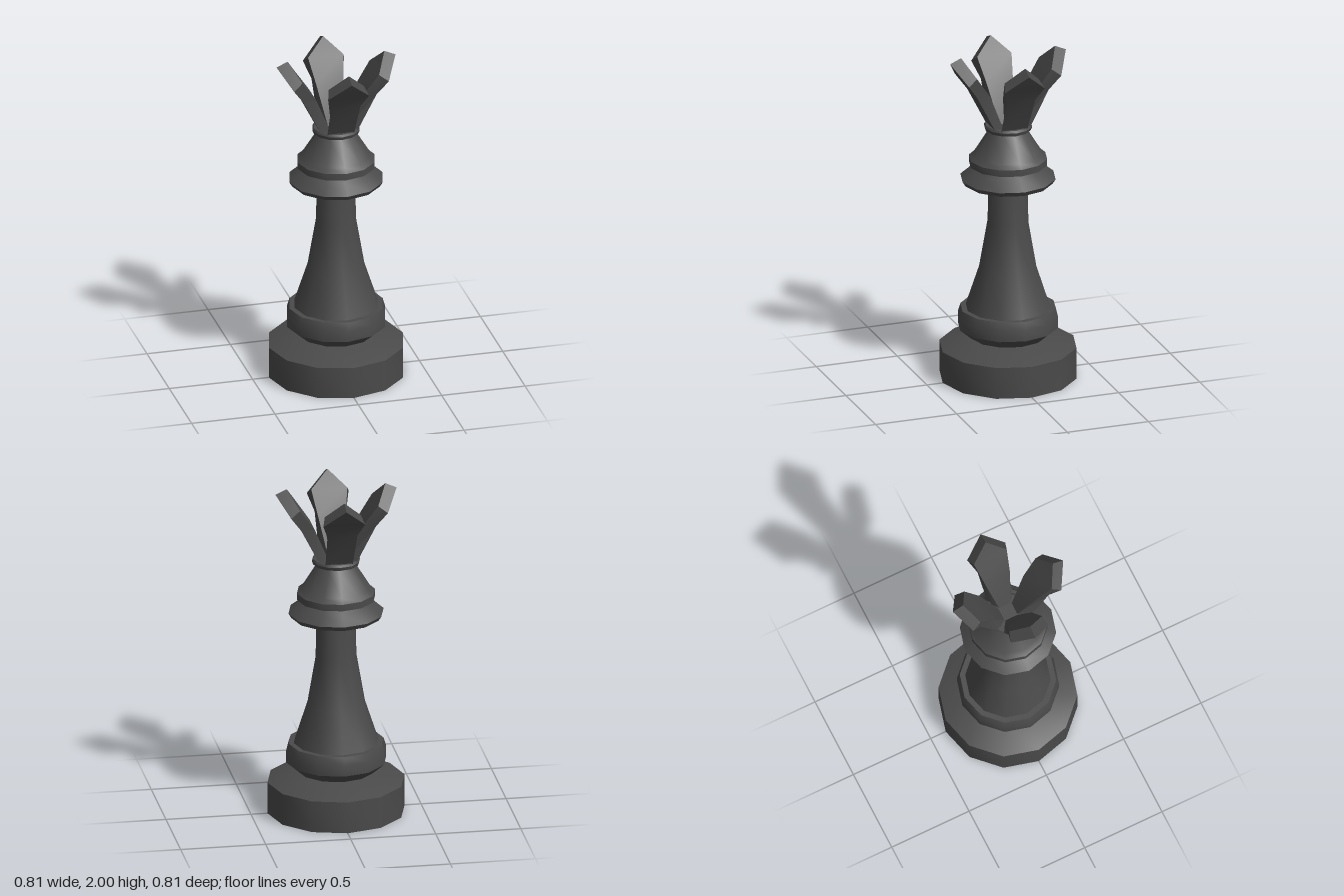
import * as THREE from 'three';
import { toCreasedNormals } from 'three/addons/utils/BufferGeometryUtils.js';

const SIDES = 12;
const CREASE = 0.6;
const material = new THREE.MeshStandardMaterial({ color: 0x4a4a4a });

function addMesh(parent, name, geometry) {
  const mesh = new THREE.Mesh(toCreasedNormals(geometry, CREASE), material);
  mesh.name = name;
  parent.add(mesh);
}

// Turned part: [radius, height] pairs from bottom to top
function turned(parent, name, profile) {
  const points = profile.map(([r, y]) => new THREE.Vector2(r, y));
  addMesh(parent, name, new THREE.LatheGeometry(points, SIDES));
}

// Crown petal leaning out towards +z, lofted through four-cornered sections
function petalGeometry() {
  // inner radius, inner height, inner half width, outer radius, outer height, outer half width
  const sections = [
    [0.04, 1.535, 0.036, 0.10, 1.535, 0.08],
    [0.14, 1.77, 0.082, 0.22, 1.77, 0.088],
    [0.23, 1.90, 0.106, 0.284, 1.86, 0.123],
    [0.29, 2.0, 0, 0.357, 1.97, 0],
  ];
  const positions = [];
  const indices = [];
  for (const [ri, yi, wi, ro, yo, wo] of sections) {
    positions.push(-wo, yo, ro, wo, yo, ro, wi, yi, ri, -wi, yi, ri);
  }
  for (let s = 0; s < sections.length - 1; s++) {
    for (let k = 0; k < 4; k++) {
      const a = s * 4 + k;
      const b = s * 4 + (k + 1) % 4;
      indices.push(a, b, b + 4, a, b + 4, a + 4);
    }
  }
  indices.push(0, 2, 1, 0, 3, 2); // underside
  const geometry = new THREE.BufferGeometry();
  geometry.setAttribute('position', new THREE.Float32BufferAttribute(positions, 3));
  geometry.setIndex(indices);
  return geometry;
}

export function createModel() {
  const model = new THREE.Group();
  model.name = 'chessQueen';

  turned(model, 'base', [[0, 0], [0.403, 0], [0.403, 0.19], [0.22, 0.25], [0, 0.25]]);
  turned(model, 'lowerCollar', [
    [0, 0.25], [0.225, 0.25], [0.295, 0.31], [0.295, 0.375], [0.28, 0.425], [0.2, 0.425],
  ]);
  turned(model, 'shaft', [[0.25, 0.42], [0.17, 0.665], [0.12, 0.955], [0.115, 1.21]]);
  turned(model, 'neckDisc', [
    [0, 1.2], [0.262, 1.2], [0.28, 1.228], [0.215, 1.28], [0.175, 1.31], [0, 1.31],
  ]);
  turned(model, 'bell', [
    [0, 1.31], [0.23, 1.31], [0.23, 1.35], [0.2, 1.375], [0.12, 1.505], [0.105, 1.525],
  ]);
  // Shallow dished ring that holds the petals
  turned(model, 'crownRing', [
    [0.1, 1.52], [0.135, 1.525], [0.142, 1.545], [0.135, 1.558],
    [0.115, 1.558], [0.11, 1.54], [0, 1.54],
  ]);

  const crown = new THREE.Group();
  crown.name = 'crown';
  for (let i = 0; i < 4; i++) {
    const petal = petalGeometry();
    petal.rotateY(i * Math.PI / 2);
    addMesh(crown, 'petal' + (i + 1), petal);
  }
  model.add(crown);
  return model;
}
